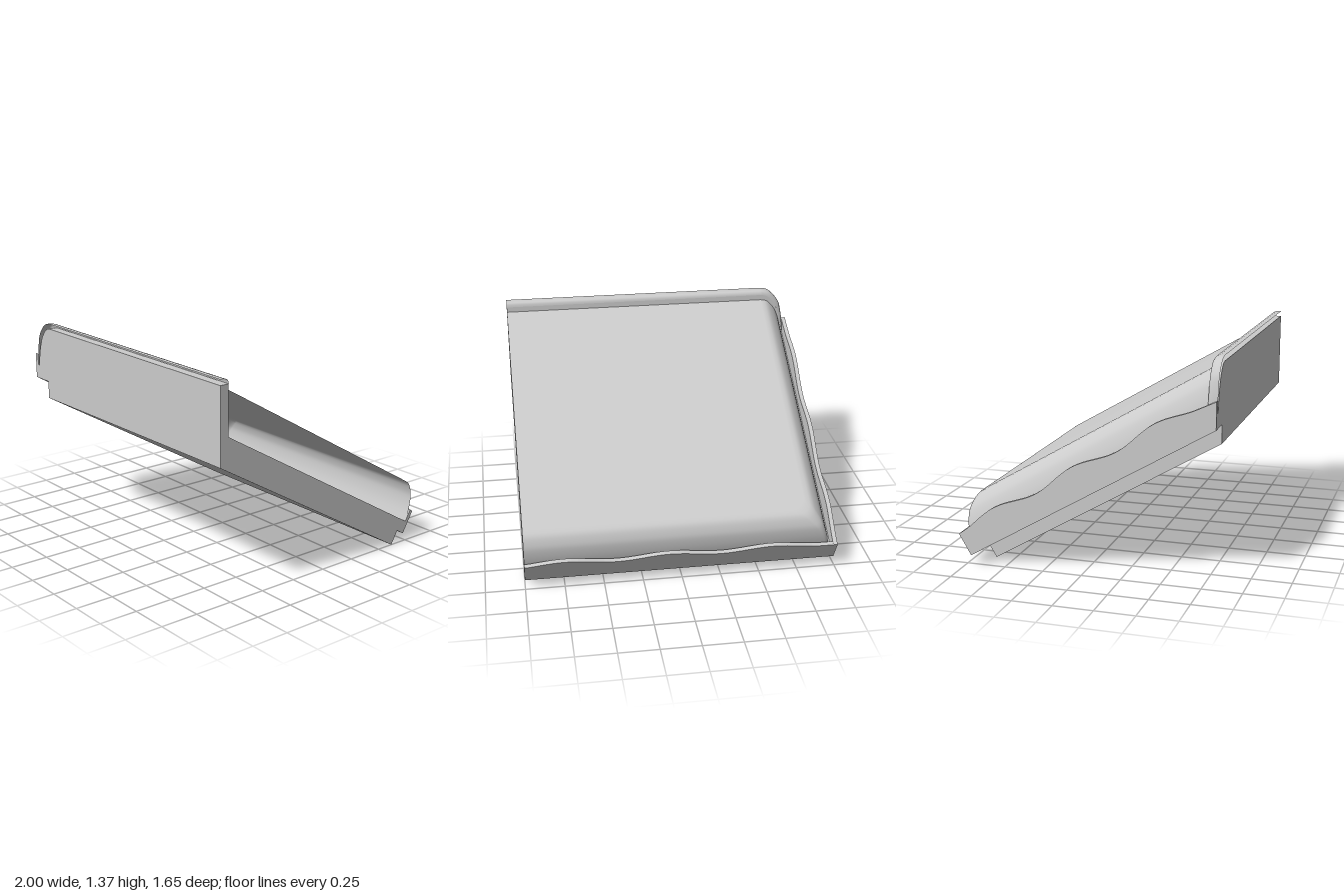
import * as THREE from 'three';

const S = 0.508, C = 0.861;            // sine and cosine of the roof pitch
const FRONT = 0.825, INNER = 0.765;    // gable face and back of the gable panel
const mat = new THREE.MeshStandardMaterial({ color: 0xcccccc, side: THREE.DoubleSide });

// Slope frame: e runs up the slope, n stands square to it; returns [z, y]
const slope = (e, n) => [-0.62 + C * e - S * n, S * e + C * n];
// e at which height n meets the vertical plane z
const eAt = (z, n) => (z + 0.62 + S * n) / C;
const atFront = n => slope(eAt(FRONT, n), n);

// Height of the wavy lip, three swells along its length
const wave = t => 0.255 + 0.022 * (1 - Math.cos(t * Math.PI * 2));

// Rounded edge of the cover: [inset, n]
const edge = new THREE.SplineCurve([
  [0, 0.18], [0.018, 0.265], [0.045, 0.335], [0.072, 0.374], [0.115, 0.41], [0.16, 0.418],
].map(p => new THREE.Vector2(...p))).getPoints(14);

function add(group, name, geometry) {
  const mesh = new THREE.Mesh(geometry, mat);
  mesh.name = name;
  group.add(mesh);
}

const extrude = (points, depth) => new THREE.ExtrudeGeometry(
  new THREE.Shape(points.map(p => new THREE.Vector2(p[0], p[1]))), { depth, bevelEnabled: false });

// Prism with a [z, y] outline, running from x0 to x1
function prism(points, x0, x1) {
  return extrude(points, x1 - x0).applyMatrix4(new THREE.Matrix4().makeBasis(
    new THREE.Vector3(0, 0, 1), new THREE.Vector3(0, 1, 0), new THREE.Vector3(-1, 0, 0)).setPosition(x1, 0, 0));
}

// Smooth skin through equally long rows of [x, y, z] points
function skin(rows) {
  const w = rows[0].length, index = [];
  for (let r = 0; r < rows.length - 1; r++)
    for (let k = 0; k < w - 1; k++) {
      const a = r * w + k, b = a + w;
      index.push(a, a + 1, b, a + 1, b + 1, b);
    }
  const g = new THREE.BufferGeometry();
  g.setAttribute('position', new THREE.Float32BufferAttribute(rows.flat(2), 3));
  g.setIndex(index);
  g.computeVertexNormals();
  return g;
}

export function createModel() {
  const model = new THREE.Group();
  model.name = 'roofCorner';

  // Sloping slab, and the wider deck that overhangs it at the left-hand end and eave
  add(model, 'lowerSlab', prism([slope(0, 0), atFront(0), atFront(0.1), slope(0, 0.1)], -0.85, 1));
  add(model, 'deck', prism([slope(-0.065, 0.1), atFront(0.1), atFront(0.18), slope(-0.065, 0.18)], -1, 1));

  // Wavy lip along the side
  const side = [slope(-0.065, 0.18), atFront(0.18), atFront(0.245)];
  for (let i = 47; i >= 0; i--) {
    const e = -0.065 + (1.79 * i) / 48;
    side.push(slope(e, wave((3 * i) / 48)));
  }
  add(model, 'sideLip', prism(side, -1, -0.972));

  // Wavy lip along the eave, square to the slope
  const eave = [[-1, 0.18], [1, 0.18]];
  for (let i = 48; i >= 0; i--) {
    const x = -1 + i / 24;
    eave.push([x, wave(Math.max(0, (x + 0.9) / 0.66))]);
  }
  add(model, 'eaveLip', extrude(eave, 0.025).applyMatrix4(new THREE.Matrix4().makeBasis(
    new THREE.Vector3(1, 0, 0), new THREE.Vector3(0, C, -S), new THREE.Vector3(0, S, C))
    .setPosition(0, -0.065 * S, -0.62 - 0.065 * C)));

  // Soft cover: each row runs from the gable, round the corner and along the eave
  const place = (x, e, n) => { const [z, y] = slope(e, n); return [x, y, z]; };
  const rows = edge.map(({ x: o, y: n }) => {
    const x = -0.96 + o, e = -0.04 + o, r = 0.02 + o * 0.5;
    const row = [place(x, eAt(INNER, n), n)];
    for (let i = 0; i <= 6; i++) {
      const a = (i / 6) * Math.PI / 2;
      row.push(place(x + r * (1 - Math.cos(a)), e + r * (1 - Math.sin(a)), n));
    }
    row.push(place(1, e, n));
    return row;
  });
  // Close the flat top by drawing the last row to the far gable corner
  const n = edge[edge.length - 1].y;
  rows.push(rows[0].map(() => place(1, eAt(INNER, n), n)));
  add(model, 'cover', skin(rows));

  // Gable panel with the rounded shoulder of the cover
  const outline = edge.map(p => [-0.96 + p.x, atFront(p.y)[1]]);
  outline.push([1, outline[outline.length - 1][1]]);
  const panel = extrude([[1, 0.98], [-0.96, 0.98], ...outline].reverse(), FRONT - INNER);
  add(model, 'gablePanel', panel.translate(0, 0, INNER));
  add(model, 'gableBase', prism([
    [INNER, 0.84], [FRONT, atFront(0)[1]], [FRONT, 1], [INNER, 1]], -0.85, 1));

  // Thin hood standing clear of the panel's upper edge, open at the front
  const hood = [[FRONT, 1], [0.795, 1], [0.775, 0.8], [0.766, 0.45], [0.764, 0]].map(([z, k]) =>
    outline.map((p, i) => {
      const a = outline[Math.max(i - 1, 0)], b = outline[Math.min(i + 1, outline.length - 1)];
      const dx = i > 12 ? 1 : b[0] - a[0], dy = i > 12 ? 0 : b[1] - a[1];
      const t = k * (0.01 + 0.024 * Math.min(1, i / 6)) / Math.hypot(dx, dy);
      return [p[0] - dy * t, p[1] + dx * t, z];
    }));
  add(model, 'gableHood', skin(hood));

  return model;
}
